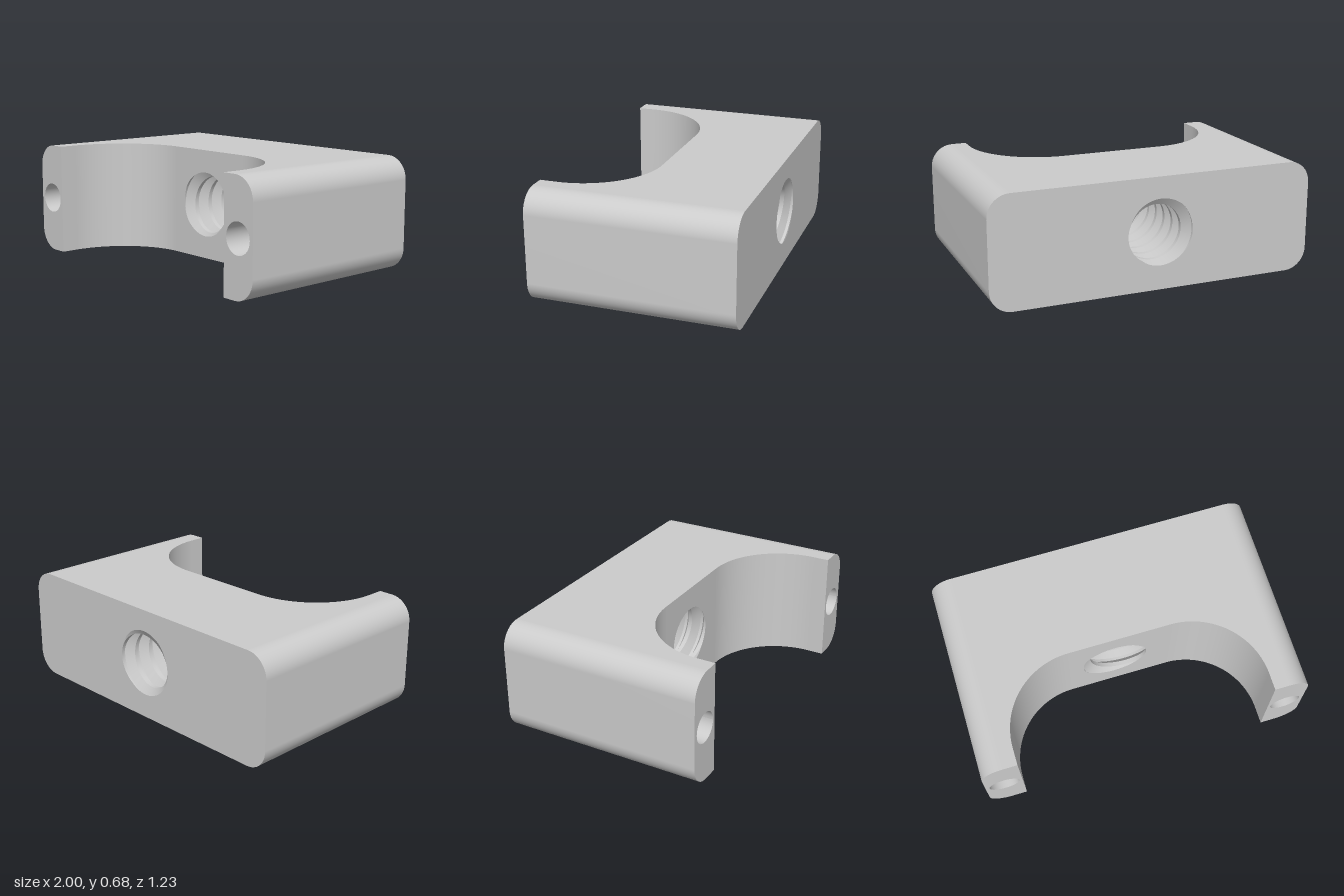
import * as THREE from 'three';
import { toCreasedNormals } from 'three/addons/utils/BufferGeometryUtils.js';

const H = 0.68, ZB = -0.615, ZF = 0.615, ZR = 0.05; // height, back, front, recess wall
const R = 0.135, XC = 1 - R;                        // rounded long edges
const XI = 0.775, RR = 0.46, XM = XI - RR;          // recess half width, corner radius, flat half width
const CY = H / 2, PITCH = 0.11, R_MIN = 0.175, DEPTH = 0.055, SEG = 96;
const SX = 0.885, SR = 0.092, SD = 0.5;             // screw holes in the arms

const V = (x, y) => new THREE.Vector2(x, y);

// points of an arc, from angle a to b
function arc(cx, cy, r, a, b, n = 16) {
  return Array.from({ length: n + 1 }, (_, i) => {
    const t = a + ((b - a) * i) / n;
    return V(cx + r * Math.cos(t), cy + r * Math.sin(t));
  });
}

// surface over a rows x cols grid, facing d(row) x d(col)
function grid(rows, cols, fn) {
  const pos = [], index = [];
  for (let i = 0; i <= rows; i++) for (let j = 0; j <= cols; j++) pos.push(...fn(i, j));
  for (let i = 0; i < rows; i++) for (let j = 0; j < cols; j++) {
    const a = i * (cols + 1) + j, b = a + cols + 1;
    index.push(a, b, b + 1, a, b + 1, a + 1);
  }
  const g = new THREE.BufferGeometry();
  g.setAttribute('position', new THREE.Float32BufferAttribute(pos, 3));
  g.setIndex(index);
  g.computeVertexNormals();
  return g;
}

// helical groove: radius at an angle and depth
function threadRadius(theta, z) {
  const u = theta / (2 * Math.PI) - (z - ZR) / PITCH;
  const q = Math.abs(u - Math.floor(u) - 0.5);
  return R_MIN + DEPTH * THREE.MathUtils.clamp((0.38 - q) / 0.3, 0, 1);
}

// outline of the threaded hole where it meets a flat face
function threadOutline(z, mirror) {
  return new THREE.Path(Array.from({ length: SEG }, (_, j) => {
    const t = (j / SEG) * 2 * Math.PI, r = threadRadius(t, z);
    return V(mirror * r * Math.cos(t), CY + r * Math.sin(t));
  }));
}

// rows follow the creases of the helix and are clipped at both faces
function threadGeometry() {
  const us = [];
  for (let n = Math.ceil((ZR - ZB) / PITCH) + 2; n >= -2; n--) us.push(n + 0.88, n + 0.58, n + 0.42, n + 0.12);
  const g = grid(us.length - 1, SEG, (i, j) => {
    const t = (j / SEG) * 2 * Math.PI;
    const z = THREE.MathUtils.clamp(ZR + PITCH * (j / SEG - us[i]), ZB, ZR);
    const r = threadRadius(t, z);
    return [r * Math.cos(t), CY + r * Math.sin(t), z];
  });
  return toCreasedNormals(g, 0.5);
}

export function createModel() {
  const model = new THREE.Group();
  const material = new THREE.MeshStandardMaterial({ color: 0xcccccc });
  const add = (name, geometry) => {
    const mesh = new THREE.Mesh(geometry, material);
    mesh.name = name;
    model.add(mesh);
    return mesh;
  };

  const edge = [...arc(XC, R, R, -Math.PI / 2, 0), ...arc(XC, H - R, R, 0, Math.PI / 2)];
  const curve = [...arc(XM, ZR + RR, RR, -Math.PI / 2, 0, 32), V(XI, ZF)];
  const curveLeft = curve.map((p) => V(-p.x, p.y)).reverse();

  // top and bottom, cut by the U-shaped recess
  const plan = [V(-XC, ZB), V(XC, ZB), V(XC, ZF), ...[...curve].reverse(), ...[...curveLeft].reverse(), V(-XC, ZF)];
  const top = new THREE.ShapeGeometry(new THREE.Shape(plan.map((p) => V(p.x, -p.y))));
  add('topFace', top.rotateX(-Math.PI / 2).translate(0, H, 0));
  add('bottomFace', new THREE.ShapeGeometry(new THREE.Shape(plan)).rotateX(Math.PI / 2));

  // back face with the threaded hole
  const backShape = new THREE.Shape([...edge, ...edge.map((p) => V(-p.x, p.y)).reverse()]);
  backShape.holes.push(threadOutline(ZB, -1));
  add('backFace', new THREE.ShapeGeometry(backShape).rotateY(Math.PI).translate(0, 0, ZB));

  // flat middle of the recess
  const wall = new THREE.Shape([V(-XM, 0), V(XM, 0), V(XM, H), V(-XM, H)]);
  wall.holes.push(threadOutline(ZR, 1));
  add('recessWall', new THREE.ShapeGeometry(wall).translate(0, 0, ZR));
  add('threadedBore', threadGeometry());

  // left and right: rounded side, recess curve, arm end, screw hole
  for (const [side, s, path] of [['left', 1, curve], ['right', -1, curveLeft]]) {
    const shell = grid(edge.length - 1, 1, (i, j) => [edge[i].x, edge[i].y, j ? ZF : ZB]);
    add(side + 'RoundedSide', s > 0 ? shell : shell.rotateY(Math.PI));
    add(side + 'RecessCurve', grid(path.length - 1, 1, (i, j) => [path[i].x, j * H, path[i].y]));

    const end = new THREE.Shape([V(XI, 0), ...edge, V(XI, H)].map((p) => V(s * p.x, p.y)));
    end.holes.push(new THREE.Path(arc(s * SX, CY, SR, 0, 2 * Math.PI, 48).slice(0, -1)));
    add(side + 'ArmEnd', new THREE.ShapeGeometry(end).translate(0, 0, ZF));

    const ring = arc(s * SX, CY, SR, 0, 2 * Math.PI, 48);
    add(side + 'ScrewHole', grid(1, 48, (i, j) => [ring[j].x, ring[j].y, ZF - (1 - i) * SD]));
    add(side + 'ScrewHoleFloor', new THREE.CircleGeometry(SR, 48).translate(s * SX, CY, ZF - SD));
  }
  return model;
}
